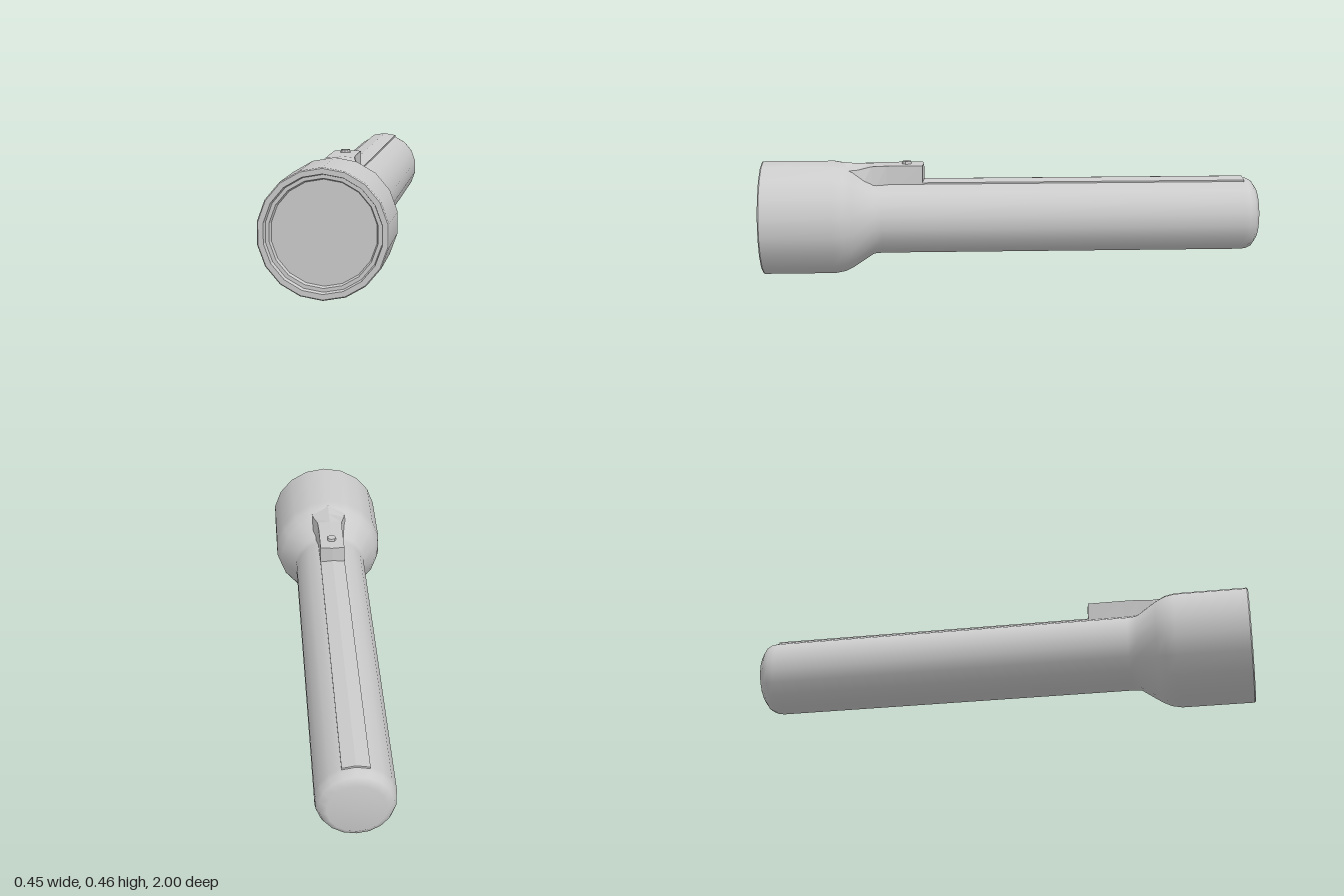
import * as THREE from 'three';

const AXIS_Y = 0.23;
const SIDES = 18;

export function createModel() {
  const model = new THREE.Group();
  model.name = 'flashlight';
  const smooth = new THREE.MeshStandardMaterial({ color: 0xcccccc });
  const flat = new THREE.MeshStandardMaterial({ color: 0xcccccc, flatShading: true });

  const add = (name, geometry, material) => {
    const mesh = new THREE.Mesh(geometry, material);
    mesh.name = name;
    model.add(mesh);
    return mesh;
  };

  // Turns a [radius, z] profile around the long axis
  const turned = (profile) => {
    const points = profile.map(([r, z]) => new THREE.Vector2(r, z));
    return new THREE.LatheGeometry(points, SIDES).rotateX(Math.PI / 2).translate(0, AXIS_Y, 0);
  };

  // Handle with rounded tail, flaring into the head
  add('body', turned([
    [0, -1], [0.108, -1], [0.135, -0.982], [0.146, -0.96], [0.149, -0.935],
    [0.149, 0.52], [0.152, 0.555], [0.205, 0.635], [0.222, 0.67], [0.23, 0.71], [0.23, 0.995],
  ]), smooth);

  // Stepped front rim
  add('rim', turned([
    [0.23, 0.995], [0.226, 1], [0.207, 1], [0.203, 0.98], [0.19, 0.98], [0.185, 0.965],
  ]), flat);

  // Lens
  add('lens', new THREE.CircleGeometry(0.186, SIDES).rotateZ(Math.PI / 2).translate(0, AXIS_Y, 0.965), flat);

  // Slightly raised strip along the top of the handle
  const strip = new THREE.Shape([
    [-0.051, 0.34], [0.051, 0.34], [0.051, 0.376], [0, 0.385], [-0.051, 0.376],
  ].map(([x, y]) => new THREE.Vector2(x, y)));
  add('topStrip', new THREE.ExtrudeGeometry(strip, { depth: 1.33, bevelEnabled: false })
    .translate(0, 0, -0.945), flat);

  // Switch housing lofted from sections: z, half width, foot half width, crown y, corner y
  const sections = [
    [0.357, 0.05, 0.051, 0.447, 0.445],
    [0.5, 0.05, 0.053, 0.447, 0.445],
    [0.56, 0.052, 0.064, 0.447, 0.443],
    [0.62, 0.066, 0.09, 0.449, 0.431],
    [0.68, 0.075, 0.1, 0.455, 0.43],
  ];
  const positions = [];
  const indices = [];
  const N = 5;
  sections.forEach(([z, w, foot, crown, corner], s) => {
    const back = s === 0 ? 0.007 : 0; // the rear face is slightly pointed
    positions.push(
      foot, 0.33, z, w, corner, z, 0, crown, z - back, -w, corner, z, -foot, 0.33, z,
    );
    if (s === 0) return;
    for (let i = 0; i < N - 1; i++) {
      const a = (s - 1) * N + i;
      indices.push(a, a + 1, a + N, a + 1, a + N + 1, a + N);
    }
  });
  // Rear face
  const footMid = positions.length / 3;
  positions.push(0, 0.33, 0.35);
  for (let i = 0; i < N - 1; i++) indices.push(footMid, i + 1, i);
  const housing = new THREE.BufferGeometry();
  housing.setAttribute('position', new THREE.Float32BufferAttribute(positions, 3));
  housing.setIndex(indices);
  housing.computeVertexNormals();
  add('switchHousing', housing, flat);

  // Push button
  add('switchButton', new THREE.CylinderGeometry(0.017, 0.021, 0.02, 10), flat)
    .position.set(0, 0.447, 0.42);

  return model;
}
